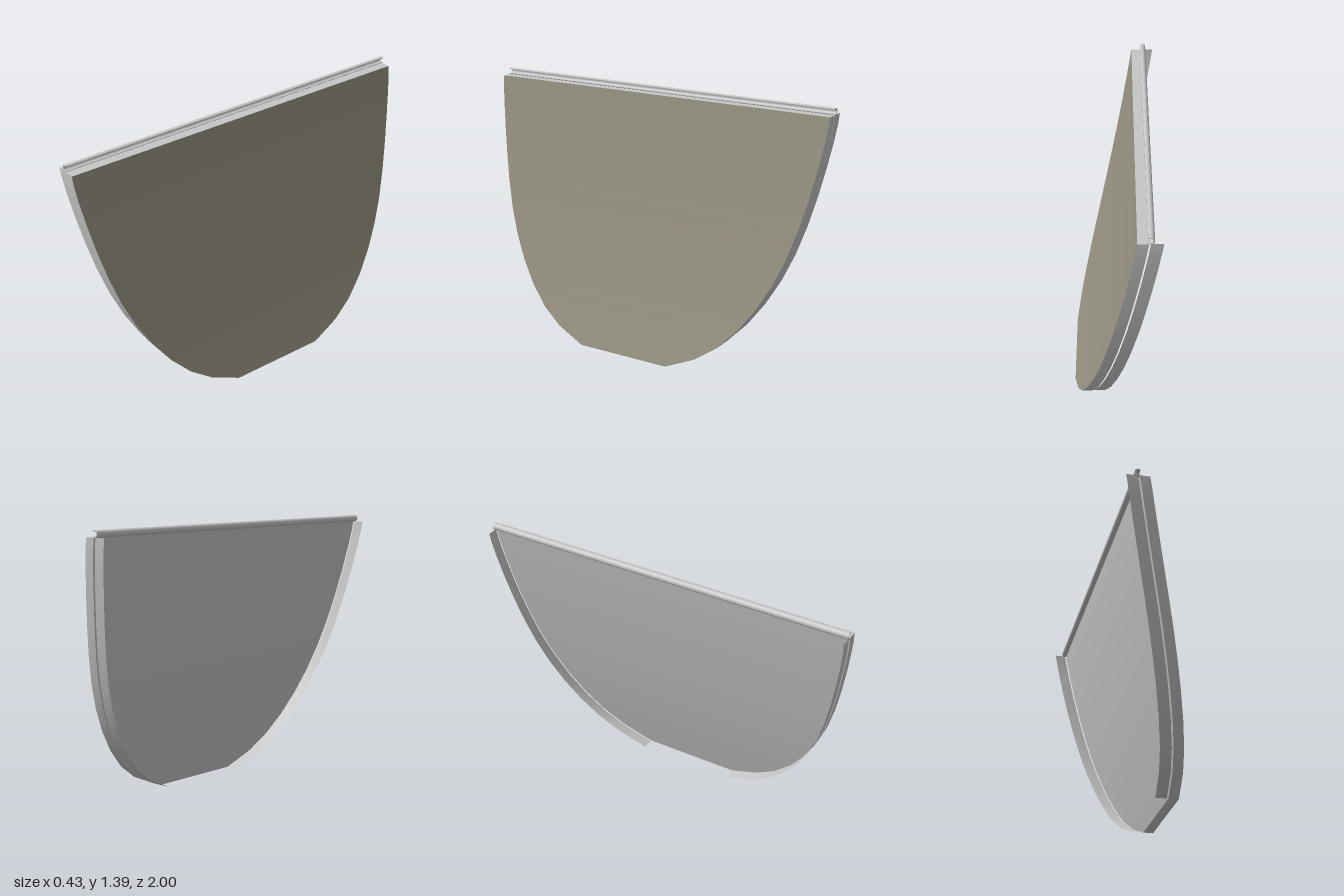
import * as THREE from 'three';

const grey = new THREE.MeshStandardMaterial({ color: 0xc6c6c6, side: THREE.DoubleSide });
grey.name = 'light grey';
const olive = new THREE.MeshStandardMaterial({ color: 0x969180, side: THREE.DoubleSide });
olive.name = 'olive grey';

// Half width of the panel (z) against height (y)
const outline = [
  [0.267, 0], [0.43, 0.07], [0.545, 0.15], [0.645, 0.255], [0.73, 0.375], [0.8, 0.505], [0.855, 0.64],
  [0.9, 0.79], [0.935, 0.94], [0.962, 1.08], [0.985, 1.22], [0.995, 1.3], [0.998, 1.355],
];
const THICK = 0.052;

// Outer face leans and bows with height
const bow = (y) => 0.211 - 0.301 * y + 0.0543 * y * y;

// Edge line: depth behind the outer face, on one side, with optional inset
const edge = (depth, side, inset = 0) =>
  outline.map(([w, y]) => new THREE.Vector3(bow(y) - depth, y, side * (w - inset)));

// Surface between a left and a right line, both running upwards
function strip(name, left, right, material) {
  const points = [];
  const index = [];
  left.forEach((p, i) => {
    points.push(p, right[i]);
    if (i) {
      const k = 2 * i;
      index.push(k - 2, k - 1, k + 1, k - 2, k + 1, k);
    }
  });
  const geometry = new THREE.BufferGeometry().setFromPoints(points);
  geometry.setIndex(index);
  geometry.computeVertexNormals();
  const mesh = new THREE.Mesh(geometry, material);
  mesh.name = name;
  return mesh;
}

export function createModel() {
  const model = new THREE.Group();
  model.name = 'curvedPanel';

  // Panel slab
  const slab = new THREE.Group();
  slab.name = 'panel';
  const frontL = edge(0, 1), frontR = edge(0, -1);
  const backL = edge(THICK, 1), backR = edge(THICK, -1);
  const last = outline.length - 1;
  const across = (a, b, i) => [a[i], b[i]];
  slab.add(
    strip('outerFace', frontL, frontR, olive),
    strip('innerFace', backR, backL, grey),
    strip('frontEdge', backL, frontL, grey),
    strip('rearEdge', frontR, backR, grey),
    strip('topEdge', across(backL, backR, last), across(frontL, frontR, last), grey),
    strip('bottomEdge', across(frontL, frontR, 0), across(backL, backR, 0), grey),
  );
  model.add(slab);

  // Thin side flanges, set just behind the slab
  model.add(
    strip('frontFlange', edge(0.118, 1, 0.003), edge(0.06, 1, 0.003), grey),
    strip('rearFlange', edge(0.06, -1, 0.003), edge(0.118, -1, 0.003), grey),
  );

  // Crescent rail along the top
  const crescent = new THREE.Shape();
  const open = 0.9;
  crescent.absarc(0, 0, 0.018, open, 2 * Math.PI - open, false);
  crescent.absarc(0.003, 0, 0.0135, 2 * Math.PI - open, open, true);
  const rail = new THREE.Mesh(
    new THREE.ExtrudeGeometry(crescent, { depth: 2, bevelEnabled: false, curveSegments: 14 }), grey);
  rail.name = 'topRail';
  rail.position.set(-0.157, 1.372, -1);
  model.add(rail);

  return model;
}
